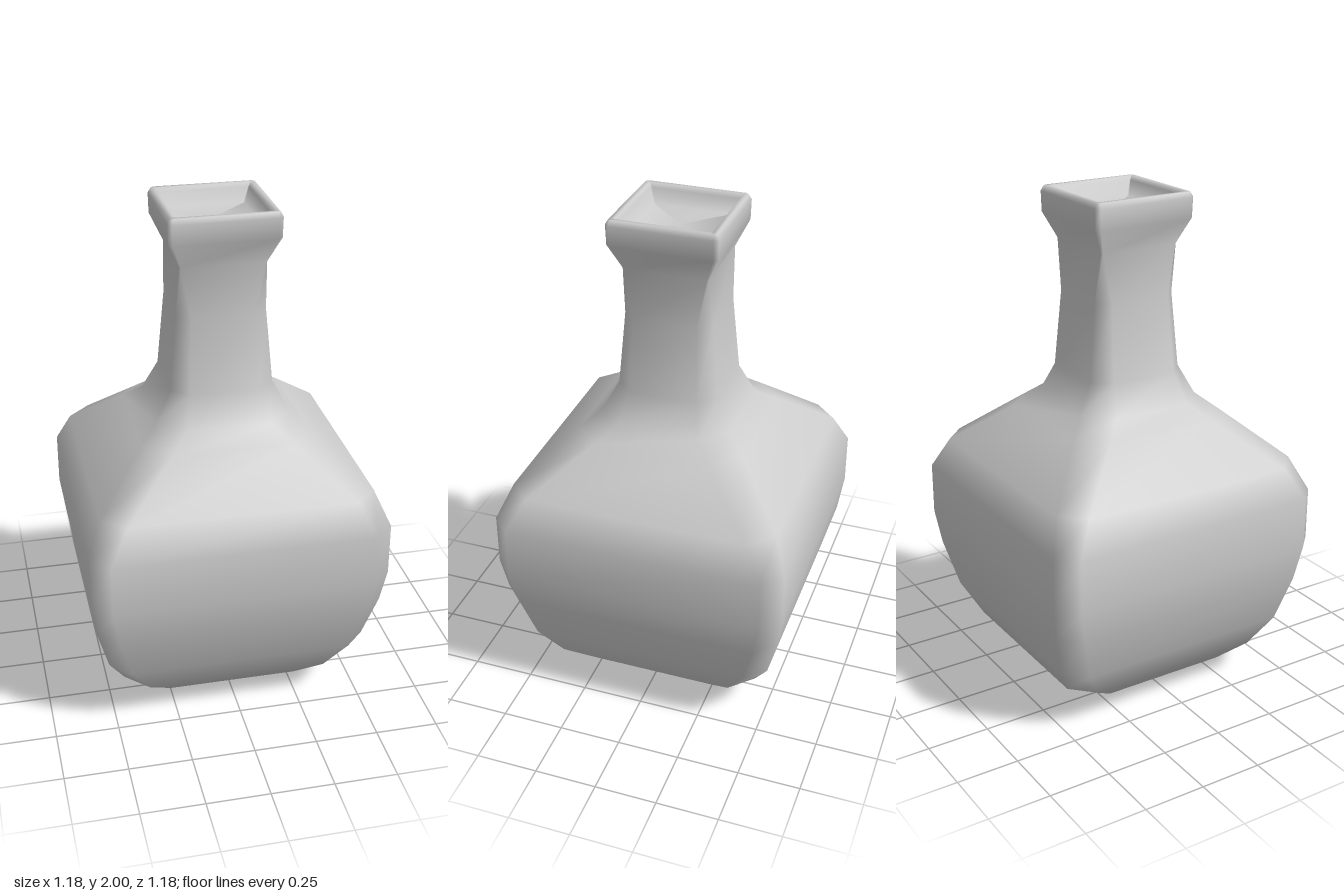
import * as THREE from 'three';

// Bottle profile from bottom centre to mouth floor: [height, half width, corner chamfer]
const BODY = [
  [0, 0, 0], [0, 0.24, 0.08], [0.06, 0.37, 0.11], [0.14, 0.45, 0.09], [0.27, 0.52, 0.08],
  [0.46, 0.57, 0.08], [0.6, 0.59, 0.075], [0.81, 0.59, 0.075], [0.94, 0.535, 0.09],
  [1.12, 0.335, 0.1], [1.18, 0.265, 0.1],
];
const NECK = [[1.3, 0.202, 0.065], [1.6, 0.175, 0.05], [1.8, 0.167, 0.006]];
const RIM = [
  [1.9, 0.214, 0.016], [1.98, 0.216, 0.016], [2, 0.205, 0.01], [2, 0.187, 0.004],
  [1.985, 0.177, 0.003], [1.93, 0.155, 0.003], [1.93, 0, 0],
];

// Square with cut corners, counterclockwise from above
function ring([y, a, c]) {
  const b = a - c;
  return [[a, -b], [a, b], [b, a], [-b, a], [-a, b], [-a, -b], [-b, -a], [b, -a]]
    .flatMap(([x, z]) => [x, y, -z]);
}

// Quads between consecutive rings
function bands(from, to) {
  const index = [];
  for (let i = from; i < to; i++) {
    for (let j = 0; j < 8; j++) {
      const a = i * 8 + j, b = i * 8 + (j + 1) % 8;
      index.push(a, b, b + 8, a, b + 8, a + 8);
    }
  }
  return index;
}

export function createModel() {
  const group = new THREE.Group();
  group.name = 'bottle';
  const material = new THREE.MeshStandardMaterial({ color: 0xcccccc });
  const rings = [...BODY, ...NECK, ...RIM];

  // Whole skin first, so the parts share smooth normals at their seams
  const skin = new THREE.BufferGeometry();
  skin.setAttribute('position', new THREE.Float32BufferAttribute(rings.flatMap(ring), 3));
  skin.setIndex(bands(0, rings.length - 1));
  skin.computeVertexNormals();

  const neckStart = BODY.length - 1;
  const rimStart = neckStart + NECK.length;
  const parts = [
    ['body', 0, neckStart],
    ['neck', neckStart, rimStart],
    ['rim', rimStart, rings.length - 1],
  ];
  for (const [name, from, to] of parts) {
    const geometry = skin.clone();
    geometry.setIndex(bands(from, to));
    const mesh = new THREE.Mesh(geometry, material);
    mesh.name = name;
    group.add(mesh);
  }
  return group;
}
